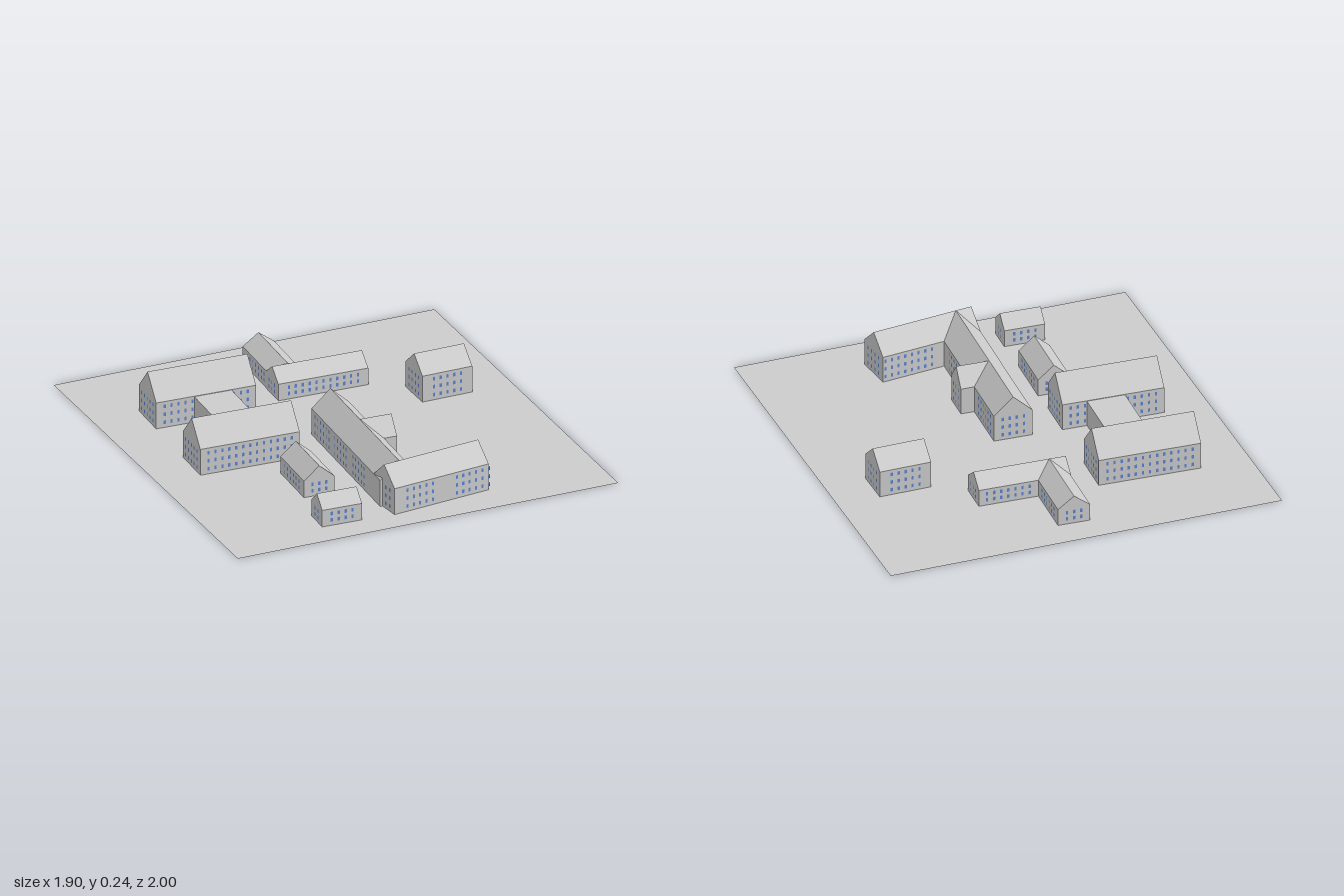
import * as THREE from 'three';
import { mergeGeometries } from 'three/addons/utils/BufferGeometryUtils.js';

const grey = new THREE.MeshStandardMaterial({ color: 0xcccccc, flatShading: true });
const groundMat = new THREE.MeshStandardMaterial({ color: 0xcccccc, side: THREE.DoubleSide });
const blue = new THREE.MeshStandardMaterial({ color: 0x5a82d2 });

const TILT = 0.04; // slight turn shared by most of the site
const STEP = 0.034; // spacing between windows
const TALL = { eave: 0.13, rows: [0.027, 0.067, 0.107] };
const LOW = { eave: 0.083, rows: [0.028, 0.06] };

function addMesh(parent, name, geometry, material) {
  const mesh = new THREE.Mesh(geometry, material);
  mesh.name = name;
  parent.add(mesh);
  return mesh;
}

// Triangular prism with its ridge along local x
function roofGeometry(length, width, rise) {
  const shape = new THREE.Shape();
  shape.moveTo(-width / 2, 0);
  shape.lineTo(width / 2, 0);
  shape.lineTo(0, rise);
  shape.closePath();
  return new THREE.ExtrudeGeometry(shape, { depth: length, bevelEnabled: false })
    .translate(0, 0, -length / 2)
    .rotateY(Math.PI / 2);
}

// Rows of window panes on one wall; groups are [centre, count] along the wall
function wallWindows(groups, rows, distance, angle) {
  const panes = [];
  for (const [centre, count] of groups) {
    for (let i = 0; i < count; i++) {
      for (const y of rows) {
        panes.push(new THREE.PlaneGeometry(0.011, 0.018)
          .translate(centre + (i - (count - 1) / 2) * STEP, y, distance + 0.0015)
          .rotateY(angle));
      }
    }
  }
  return panes;
}

// A gabled house: front and back are the long walls, both ends carry gables
function house(name, { x, z, length, width, turn, type, ridge, front = [], back = front, right = 0, left = right }) {
  const group = new THREE.Group();
  group.name = name;
  group.position.set(x, 0, z);
  group.rotation.y = turn;
  addMesh(group, 'walls', new THREE.BoxGeometry(length, type.eave, width).translate(0, type.eave / 2, 0), grey);
  const roof = addMesh(group, 'roof', roofGeometry(length, width, ridge - type.eave), grey);
  roof.position.y = type.eave;
  const mirrored = back.map(([c, n]) => [-c, n]);
  const panes = [
    ...wallWindows(front, type.rows, width / 2, 0),
    ...wallWindows(mirrored, type.rows, width / 2, Math.PI),
    ...wallWindows([[0, right]], type.rows, length / 2, Math.PI / 2),
    ...wallWindows([[0, left]], type.rows, length / 2, -Math.PI / 2),
  ];
  addMesh(group, 'windows', mergeGeometries(panes), blue);
  return group;
}

export function createModel() {
  const model = new THREE.Group();
  model.name = 'buildingSite';
  addMesh(model, 'ground', new THREE.PlaneGeometry(1.9, 2).rotateX(-Math.PI / 2), groundMat);

  const quarter = Math.PI / 2 - TILT;
  const houses = {
    // Pair of tall halls
    backHall: { x: -0.47, z: -0.483, length: 0.49, width: 0.207, turn: -TILT, type: TALL, ridge: 0.242,
      front: [[0, 13]], right: 5 },
    frontHall: { x: -0.492, z: 0.042, length: 0.488, width: 0.207, turn: -TILT, type: TALL, ridge: 0.242,
      front: [[0, 13]], right: 5 },
    // Long wing, its angled end wing and small cross gable
    longWing: { x: -0.026, z: 0.368, length: 0.818, width: 0.185, turn: quarter, type: TALL, ridge: 0.215,
      front: [[-0.155, 5], [0.28, 6]], back: [[-0.155, 5], [0.06, 5], [0.28, 6]], right: 4, left: 0 },
    angledWing: { x: 0.127, z: 0.757, length: 0.5, width: 0.184, turn: 0.118, type: TALL, ridge: 0.215,
      front: [[-0.115, 5], [0.165, 6]], back: [[0.12, 8]], right: 4 },
    crossGable: { x: 0.053, z: 0.309, length: 0.16, width: 0.135, turn: -TILT, type: TALL, ridge: 0.213,
      right: 3, left: 0 },
    // Detached house on the right
    detachedHouse: { x: 0.62, z: -0.23, length: 0.25, width: 0.178, turn: 0.01, type: TALL, ridge: 0.206,
      front: [[0, 5]], right: 4 },
    // Low L-shaped house
    lowFrontWing: { x: 0.131, z: -0.492, length: 0.442, width: 0.15, turn: -TILT + 0.005, type: LOW, ridge: 0.14,
      front: [[0, 11]], back: [[0.08, 7]], right: 3 },
    lowBackWing: { x: -0.004, z: -0.673, length: 0.355, width: 0.154, turn: quarter, type: LOW, ridge: 0.14,
      front: [[0.04, 6]], back: [[0.02, 7]], right: 3, left: 0 },
    // Small sheds on the left
    middleShed: { x: -0.33, z: 0.408, length: 0.28, width: 0.15, turn: quarter, type: LOW, ridge: 0.147,
      front: [[0, 6]], right: 3 },
    frontShed: { x: -0.363, z: 0.798, length: 0.195, width: 0.128, turn: -TILT, type: LOW, ridge: 0.14,
      front: [[0, 4]], right: 2 },
  };
  for (const [name, spec] of Object.entries(houses)) model.add(house(name, spec));

  // Flat-roofed link between the two halls
  const link = addMesh(model, 'flatLink', new THREE.BoxGeometry(0.183, 0.128, 0.34), grey);
  link.position.set(-0.447, 0.064, -0.22);
  link.rotation.y = -TILT;

  return model;
}
